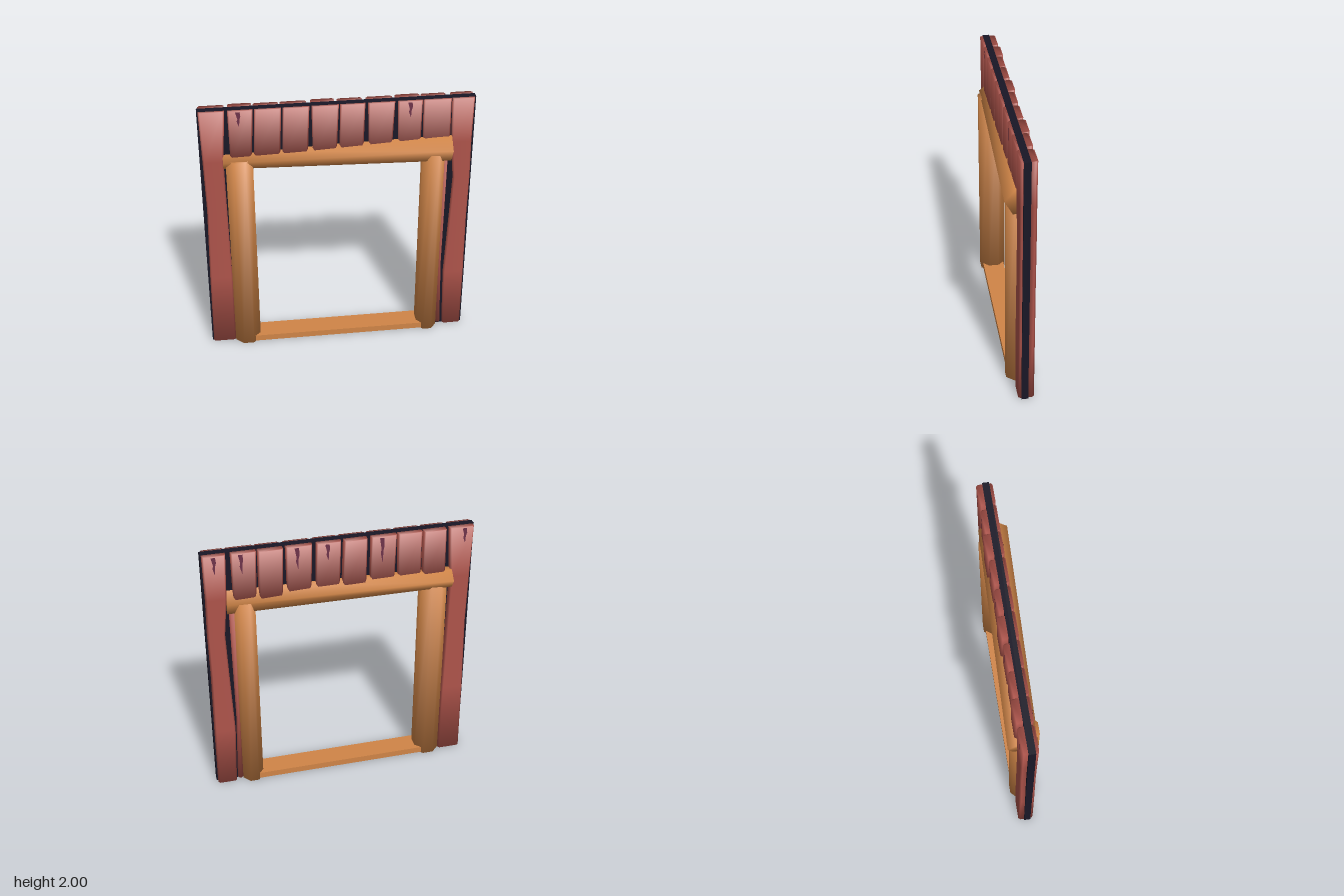
import * as THREE from 'three';

const mat = (name, color, side = THREE.FrontSide) => {
  const m = new THREE.MeshStandardMaterial({ color, side });
  m.name = name;
  return m;
};

// Smooth, capped loft through rings of points; the normals of the end rings lean outwards along the axis.
function loft(rings, lean = 0.7) {
  const n = rings[0].length, last = rings.length - 1, index = [];
  for (let r = 0; r < last; r++) {
    for (let i = 0; i < n; i++) {
      const a = r * n + i, b = r * n + (i + 1) % n;
      index.push(a, b, b + n, a, b + n, a + n);
    }
  }
  const g = new THREE.BufferGeometry();
  g.setAttribute('position', new THREE.Float32BufferAttribute(rings.flat(2), 3));
  g.setIndex(index);
  g.computeVertexNormals();
  const axis = new THREE.Vector3(...rings[last][0]).sub(new THREE.Vector3(...rings[0][0])).normalize();
  const normal = g.attributes.normal, v = new THREE.Vector3();
  for (let i = 0; i < n; i++) {
    for (const [k, s] of [[i, -lean], [last * n + i, lean]]) {
      v.fromBufferAttribute(normal, k).addScaledVector(axis, s).normalize();
      normal.setXYZ(k, v.x, v.y, v.z);
    }
  }
  for (let i = 1; i < n - 1; i++) {
    index.push(0, i + 1, i, last * n, last * n + i, last * n + i + 1);
  }
  g.setIndex(index);
  return g;
}

// Upright plank from [y, left, right] rows, bottom to top, lying on the core
function plank(rows, depth) {
  return loft(rows.map(([y, l, r]) => [
    [l + 0.012, y, depth], [r - 0.012, y, depth], [r, y, depth - 0.014],
    [r, y, 0.015], [l, y, 0.015], [l, y, depth - 0.014],
  ]));
}

export function createModel() {
  const model = new THREE.Group();
  const dark = mat('dark core', 0x191726);
  const red = mat('red plank', 0xae544b);
  const wood = mat('orange timber', 0xd08547);
  const purple = mat('purple crack', 0x6e344a, THREE.DoubleSide);
  const add = (parent, name, geometry, material) => {
    const mesh = new THREE.Mesh(geometry, material);
    mesh.name = name;
    parent.add(mesh);
    return mesh;
  };

  // Dark core panel with the door opening
  const panel = new THREE.Shape([[-1, 0], [1, 0], [1, 2], [-1, 2]].map(p => new THREE.Vector2(...p)));
  panel.holes.push(new THREE.Path([[-0.74, 0.03], [-0.74, 1.6], [0.74, 1.6], [0.74, 0.03]].map(p => new THREE.Vector2(...p))));
  const core = new THREE.ExtrudeGeometry(panel, { depth: 0.05, bevelEnabled: false });
  core.translate(0, 0, -0.025);
  add(model, 'corePanel', core, dark);

  // Planks: [top left, top right, bottom left, bottom right]
  const frontTops = [
    [-0.785, -0.605, -0.78, -0.625], [-0.595, -0.405, -0.61, -0.42],
    [-0.395, -0.205, -0.405, -0.22], [-0.19, 0.005, -0.185, -0.01],
    [0.015, 0.195, 0.01, 0.185], [0.215, 0.41, 0.225, 0.395],
    [0.43, 0.61, 0.44, 0.605], [0.615, 0.82, 0.625, 0.825],
  ];
  const backTops = [
    [-0.79, -0.61, -0.785, -0.62], [-0.6, -0.42, -0.6, -0.43],
    [-0.4, -0.21, -0.395, -0.22], [-0.18, 0, -0.185, -0.01],
    [0.02, 0.19, 0.01, 0.185], [0.22, 0.41, 0.22, 0.4],
    [0.42, 0.6, 0.43, 0.6], [0.61, 0.78, 0.615, 0.785],
  ];
  const leftSide = [[0.005, -0.99, -0.815], [0.6, -0.985, -0.815], [1.2, -0.972, -0.825], [1.6, -0.98, -0.83], [1.997, -0.99, -0.805]];
  const rightSide = [[0.005, 0.845, 0.99], [0.5, 0.83, 0.99], [1, 0.85, 0.985], [1.35, 0.862, 0.99], [1.65, 0.835, 0.985], [1.997, 0.825, 0.99]];
  const sliver = [[0.01, 0.79, 0.832], [0.6, 0.785, 0.815], [1.55, 0.775, 0.822]];
  const mirror = rows => rows.map(([y, l, r]) => [y, -r, -l]);

  const front = new THREE.Group(), back = new THREE.Group();
  front.name = 'frontPlanks';
  back.name = 'backPlanks';
  back.rotation.y = Math.PI;
  model.add(front, back);

  frontTops.forEach(([tl, tr, bl, br]) =>
    add(front, 'topPlank', plank([[1.62, bl, br], [1.997, tl, tr]], 0.047), red));
  backTops.forEach(([tl, tr, bl, br], i) =>
    add(back, 'topPlank', plank([[1.62, bl, br], [1.997, tl, tr]], i % 3 === 1 ? 0.08 : 0.07), red));
  add(front, 'sidePlank', plank(leftSide, 0.047), red);
  add(front, 'sidePlank', plank(rightSide, 0.047), red);
  add(front, 'thinPlank', plank(sliver, 0.034), red);
  add(back, 'sidePlank', plank(mirror(leftSide), 0.07), red);
  add(back, 'sidePlank', plank(mirror(rightSide), 0.07), red);
  add(back, 'thinPlank', plank(mirror(sliver), 0.05), red);

  // Cracks running down from the plank tops
  const crack = (parent, x, length, z) => {
    const shape = new THREE.Shape([[-0.02, 0], [-0.006, -0.45], [-0.012, -0.6], [0.004, -1], [0.008, -0.5], [0.016, -0.3], [0.012, 0]]
      .map(([a, b]) => new THREE.Vector2(a, b * length)));
    const mesh = add(parent, 'crack', new THREE.ShapeGeometry(shape), purple);
    mesh.position.set(x, 1.99, z);
  };
  [[-0.71, 0.12], [0.52, 0.12]].forEach(([x, l]) => crack(front, x, l, 0.049));
  [[-0.91, 0.14], [-0.72, 0.15], [-0.32, 0.17], [-0.1, 0.13], [0.3, 0.2], [0.66, 0.16], [0.92, 0.12]]
    .forEach(([x, l]) => crack(back, x, l, 0.072));

  // Round posts
  const post = (cx, rx, top) => loft([[0, 1], [top, 1]].map(([y, s]) =>
    Array.from({ length: 8 }, (_, i) => {
      const a = (i + 0.5) * Math.PI / 4, k = s / Math.cos(Math.PI / 8);
      return [cx + Math.cos(a) * rx * k, y, -Math.sin(a) * 0.1 * k];
    })));
  add(model, 'rightPost', post(-0.718, 0.098, 1.61), wood);
  add(model, 'leftPost', post(0.71, 0.08, 1.6), wood);

  // Six-sided lintel, slightly skewed and thicker towards one end
  const section = [[-0.107, 0], [-0.05, 0.09], [0.03, 0.095], [0.107, 0.01], [0.05, -0.095], [-0.07, -0.09]];
  const ring = (x, cy, cz, s) => section.map(([z, y]) => [x, cy + y * s, cz + z]);
  add(model, 'lintel', loft([ring(-0.835, 1.597, -0.027, 0.72), ring(0.835, 1.605, 0.02, 1)], 0.3), wood);

  // Flat door sill
  const sill = add(model, 'sill', new THREE.BoxGeometry(1.36, 0.048, 0.17), wood);
  sill.position.y = 0.028;

  return model;
}
